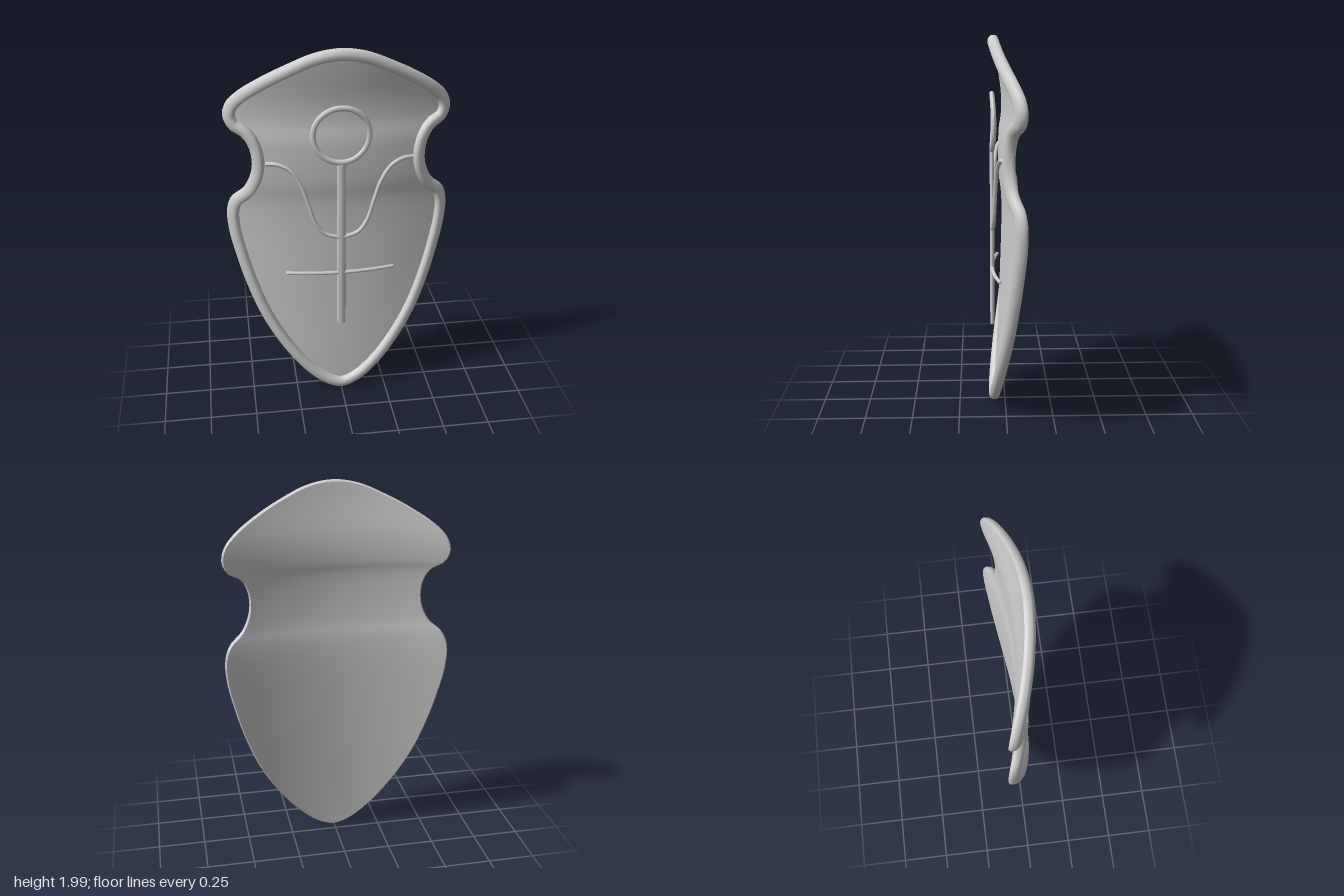
import * as THREE from 'three';

const BEND = 0.39;   // sideways curvature of the whole shield
const N = 192;       // samples around the outline

// right half of the outline, bottom tip to top
const half = [[0, 0.01], [0.09, 0.04], [0.2, 0.13], [0.32, 0.28], [0.43, 0.47], [0.51, 0.68], [0.562, 0.87],
  [0.588, 1.0], [0.592, 1.12], [0.565, 1.195], [0.5, 1.255], [0.463, 1.33], [0.452, 1.4], [0.463, 1.475],
  [0.497, 1.535], [0.56, 1.575], [0.588, 1.64], [0.57, 1.71], [0.51, 1.775], [0.4, 1.85], [0.27, 1.92],
  [0.13, 1.98], [0, 2]];
const mirrored = half.slice(1, -1).reverse().map(([x, y]) => [-x, y]);
const outline = new THREE.CatmullRomCurve3(
  [...half, ...mirrored].map(([x, y]) => new THREE.Vector3(x, y, 0)), true, 'centripetal'
).getSpacedPoints(N).slice(0, N);

// half width of the shield at a height
function widthAt(y) {
  for (let i = 0; i < N / 2; i++) {
    const a = outline[i], b = outline[i + 1];
    if (y <= b.y) return THREE.MathUtils.lerp(a.x, b.x, THREE.MathUtils.clamp((y - a.y) / (b.y - a.y || 1), 0, 1));
  }
  return 0;
}

// back face of the thin curved panel
const panelZ = (x, y) => 0.04 - 0.12 * widthAt(y) ** 2 - 0.27 * x * x;

// outline moved inward by d, never crossing the middle line
function inset(d) {
  return outline.map((p, i) => {
    const t = outline[(i + 1) % N].clone().sub(outline[(i + N - 1) % N]).normalize();
    let x = p.x - t.y * d;
    if (i % (N / 2) === 0 || x * p.x < 0) x = 0;
    return new THREE.Vector3(x, p.y + t.x * d, 0);
  });
}

// surface through rows of points
function surface(rows, flip, closed) {
  const n = rows[0].length, index = [];
  for (let i = 0; i < rows.length - (closed ? 0 : 1); i++) {
    for (let j = 0; j < n - 1; j++) {
      const a = i * n + j, d = ((i + 1) % rows.length) * n + j;
      if (flip) index.push(a, d, a + 1, a + 1, d, d + 1);
      else index.push(a, a + 1, d, a + 1, d + 1, d);
    }
  }
  const g = new THREE.BufferGeometry().setFromPoints(rows.flat());
  g.setIndex(index);
  g.computeVertexNormals();
  return g;
}

// panel spanning the outline at inset d
function panel(d, lift, flip) {
  const edge = inset(d), rows = [];
  for (let i = 0; i <= N / 2; i++) {
    const { x, y } = edge[i], row = [];
    for (let j = 0; j <= 24; j++) {
      const px = x * (j / 12 - 1);
      row.push(new THREE.Vector3(px, y, panelZ(px, y) + lift));
    }
    rows.push(row);
  }
  return surface(rows, flip, false);
}

// rounded raised border: [inset, height], its first and last points lying on the panel
function rim() {
  const profile = [[0.008, 0], [0.001, 0.008], [0, 0.02], [0.003, 0.034], [0.011, 0.043], [0.024, 0.049],
    [0.038, 0.05], [0.05, 0.045], [0.058, 0.034], [0.064, 0.02]];
  const loops = profile.map(([d, h], k) => inset(d).map(p => {
    if (k === 0) p.z = panelZ(p.x, p.y);
    else if (k === profile.length - 1) p.z = panelZ(p.x, p.y) + 0.02;
    else p.z = 0.04 - BEND * p.x * p.x + h;
    return p;
  }));
  return surface(outline.map((_, i) => loops.map(l => l[i])), true, true);
}

// bends a flat emblem part to follow the shield
function bend(g) {
  const p = g.attributes.position;
  for (let i = 0; i < p.count; i++) p.setZ(i, p.getZ(i) + 0.068 - BEND * p.getX(i) ** 2);
  g.computeVertexNormals();
  return g;
}

export function createModel() {
  const group = new THREE.Group();
  const mat = new THREE.MeshStandardMaterial({ color: 0xcccccc, side: THREE.DoubleSide });
  const add = (name, g) => {
    const m = new THREE.Mesh(g, mat);
    m.name = name;
    group.add(m);
  };

  // body
  add('backPanel', panel(0.008, 0, true));
  add('frontPanel', panel(0.064, 0.02, false));
  add('rim', rim());

  // emblem
  add('emblemRing', bend(new THREE.TorusGeometry(0.145, 0.015, 12, 64).scale(1, 1, 0.85).translate(0, 1.555, 0)));
  add('emblemStaff', bend(new THREE.CylinderGeometry(0.024, 0.024, 0.965, 16).scale(1, 1, 0.5).translate(0, 0.9325, 0)));
  add('emblemCrossbar', bend(new THREE.CapsuleGeometry(0.01, 0.575, 4, 10, 24).rotateZ(Math.PI / 2).translate(0, 0.768, 0)));
  for (const s of [1, -1]) {
    const path = new THREE.CatmullRomCurve3(
      [[0.385, 1.4], [0.33, 1.4], [0.265, 1.37], [0.21, 1.29], [0.175, 1.19], [0.14, 1.08], [0.09, 1.01], [0, 0.98]]
        .map(([x, y]) => new THREE.Vector3(s * x, y, 0)));
    add(s > 0 ? 'leftBranch' : 'rightBranch', bend(new THREE.TubeGeometry(path, 48, 0.011, 10)));
  }
  return group;
}
